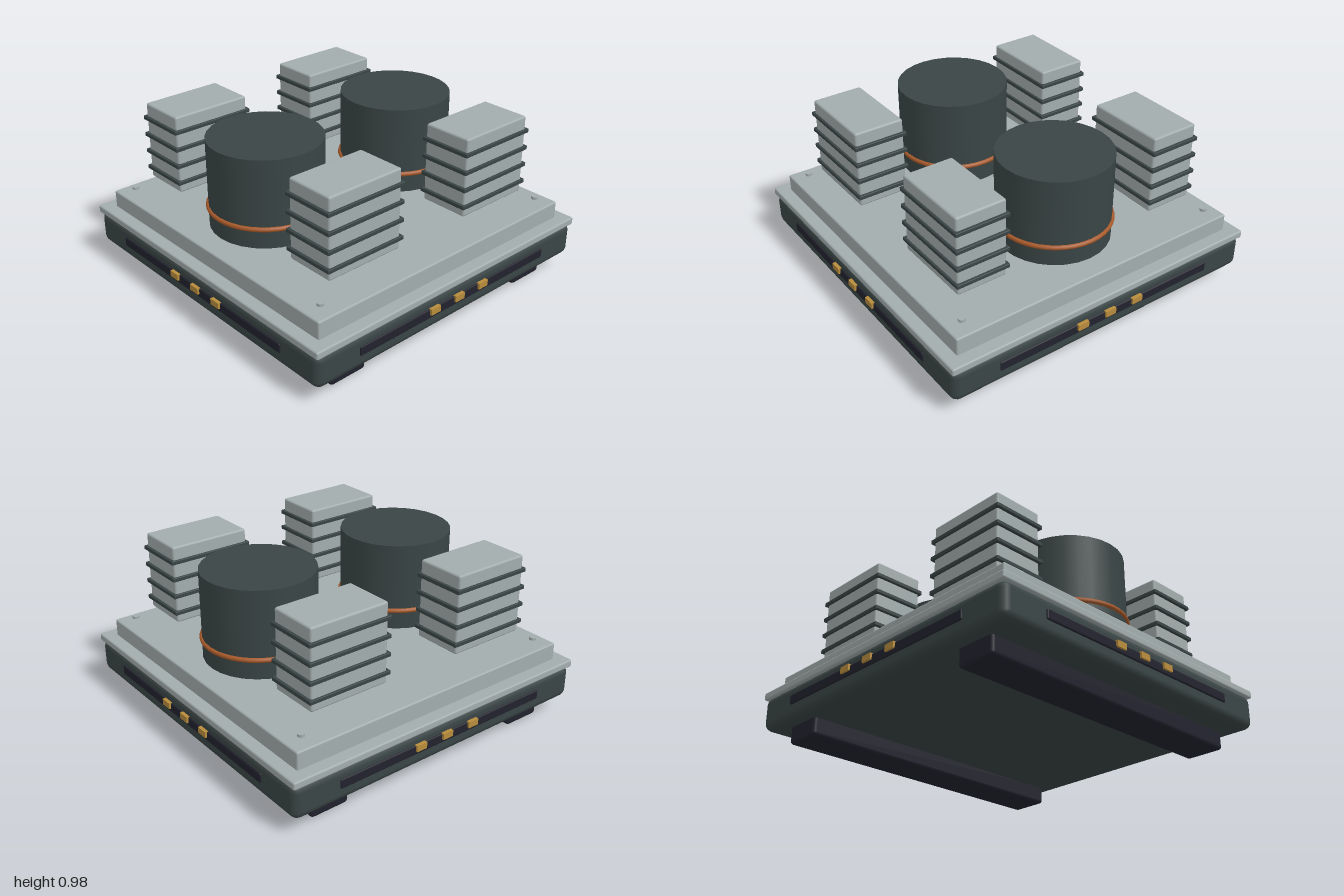
import * as THREE from 'three';
import { RoundedBoxGeometry } from 'three/addons/geometries/RoundedBoxGeometry.js';

const material = (name, color) => {
  const m = new THREE.MeshStandardMaterial({ color });
  m.name = name;
  return m;
};

export function createModel() {
  const model = new THREE.Group();
  model.name = 'machineBlock';
  const paleGrey = material('paleGrey', 0xa3adad);
  const darkGreen = material('darkGreenGrey', 0x3a4545);
  const navy = material('darkNavy', 0x22222e);
  const gold = material('gold', 0xb88c3c);
  const copper = material('copper', 0xa85a2a);

  const add = (parent, name, geometry, mat, x, y, z) => {
    const mesh = new THREE.Mesh(geometry, mat);
    mesh.name = name;
    mesh.position.set(x, y, z);
    parent.add(mesh);
    return mesh;
  };
  // Softly bevelled box placed by its bottom height
  const block = (parent, name, mat, w, h, d, r, x, bottom, z) =>
    add(parent, name, new RoundedBoxGeometry(w, h, d, 2, r), mat, x, bottom + h / 2, z);

  // Stacked base
  block(model, 'baseBody', darkGreen, 1.96, 0.2, 1.96, 0.045, 0, 0.1, 0);
  block(model, 'baseLip', paleGrey, 1.97, 0.045, 1.97, 0.01, 0, 0.29, 0);
  block(model, 'deck', paleGrey, 1.82, 0.11, 1.82, 0.01, 0, 0.325, 0);

  // Skids under the base
  for (const s of [-1, 1]) block(model, 'skid', navy, 0.234, 0.13, 1.79, 0.02, s * 0.7, 0, 0);

  // Slot and three contacts, repeated on all four sides
  for (let i = 0; i < 4; i++) {
    const side = new THREE.Group();
    side.name = 'sidePanel';
    side.rotation.y = i * Math.PI / 2;
    block(side, 'slot', navy, 1.41, 0.056, 0.03, 0.008, 0, 0.181, 0.973);
    for (const x of [-0.185, 0, 0.185])
      add(side, 'contact', new THREE.BoxGeometry(0.068, 0.036, 0.03), gold, x, 0.222, 0.985);
    model.add(side);
  }

  for (const sx of [-1, 1]) {
    // Large drums with a copper band
    add(model, 'drum', new THREE.CylinderGeometry(0.32, 0.32, 0.51, 28), darkGreen, sx * 0.486, 0.715, 0);
    const band = add(model, 'drumBand', new THREE.TorusGeometry(0.32, 0.014, 8, 40), copper, sx * 0.486, 0.573, 0);
    band.rotation.x = Math.PI / 2;

    for (const sz of [-1, 1]) {
      // Finned corner blocks
      const stack = new THREE.Group();
      stack.name = 'finnedBlock';
      stack.position.set(sx * 0.485, 0, sz * 0.631);
      block(stack, 'blockCore', paleGrey, 0.482, 0.46, 0.296, 0.012, 0, 0.52, 0);
      for (let i = 0; i < 4; i++)
        block(stack, 'fin', darkGreen, 0.514, 0.024, 0.32, 0.005, 0, 0.571 + i * 0.103, 0);
      model.add(stack);

      // Deck bolts
      add(model, 'bolt', new THREE.CylinderGeometry(0.02, 0.02, 0.015, 12), paleGrey, sx * 0.82, 0.459, sz * 0.82);
    }
  }
  return model;
}
